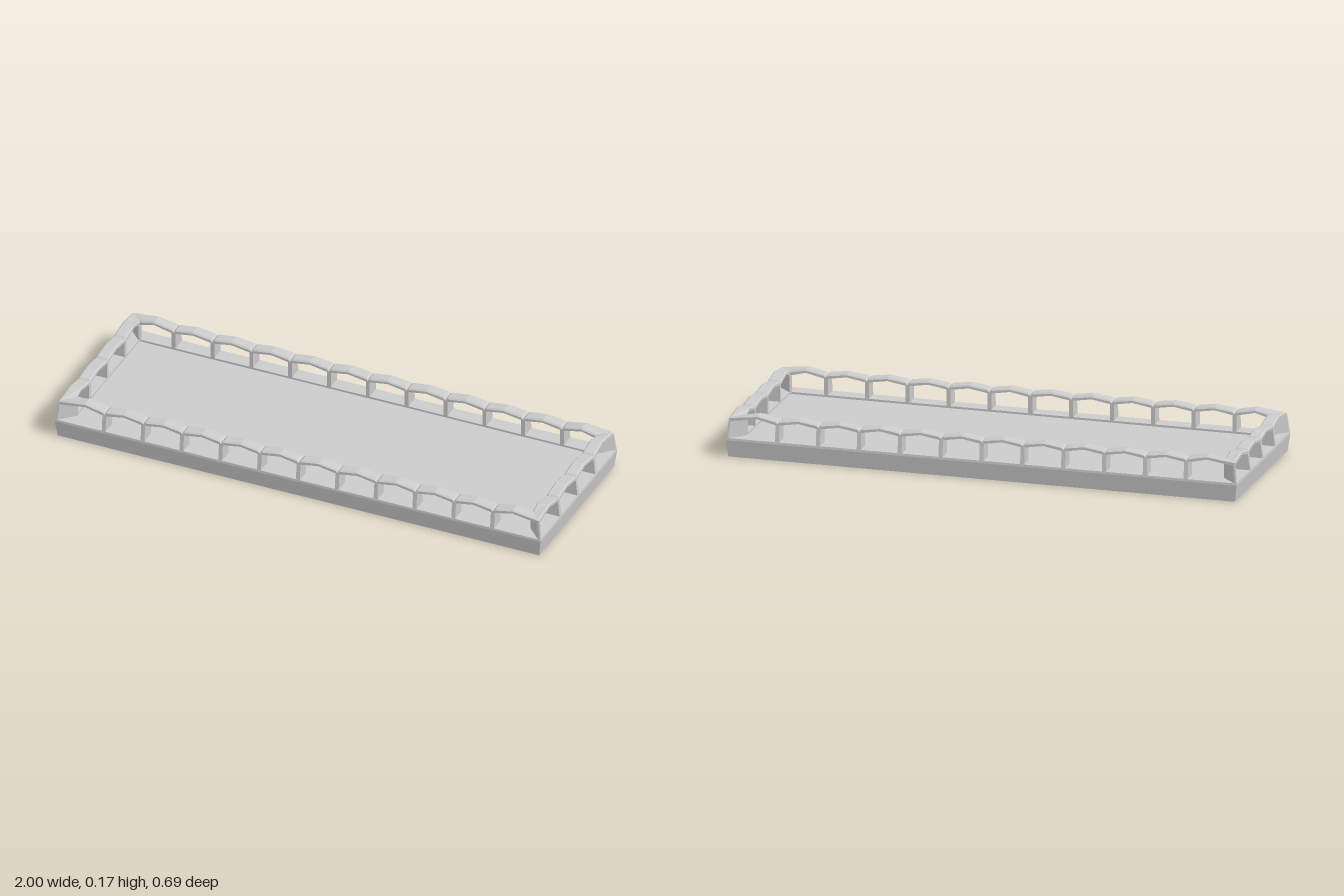
import * as THREE from 'three';

const HX = 1.0, HZ = 0.346;      // half sizes at the widest crease
const PITCH = 0.16;              // post spacing
const RIM = 0.06;                // rim depth
const LEDGE = 0.074, FLOOR = 0.066;
const material = new THREE.MeshStandardMaterial({ color: 0xcccccc, flatShading: true });

// inset of the outer face, which leans inward above the crease
const lean = (y) => Math.max(0, (y - 0.065) * 0.11);

// skins a row of equal-length closed sections and caps both ends
function loft(name, sections) {
  const pos = [];
  const tri = (a, b, c) => pos.push(...a, ...b, ...c);
  const n = sections[0].length;
  for (let k = 0; k + 1 < sections.length; k++) {
    const a = sections[k], b = sections[k + 1];
    for (let i = 0; i < n; i++) {
      const j = (i + 1) % n;
      tri(a[i], a[j], b[j]);
      tri(a[i], b[j], b[i]);
    }
  }
  const first = sections[0], last = sections[sections.length - 1];
  for (let i = 1; i + 1 < n; i++) {
    tri(first[0], first[i + 1], first[i]);
    tri(last[0], last[i], last[i + 1]);
  }
  const geometry = new THREE.BufferGeometry();
  geometry.setAttribute('position', new THREE.Float32BufferAttribute(pos, 3));
  geometry.computeVertexNormals();
  const mesh = new THREE.Mesh(geometry, material);
  mesh.name = name;
  return mesh;
}

// tray body: outer sides, ledge and slightly sunken floor
function makeBase() {
  const rings = [[0.008, 0], [0, 0.065], [0.001, LEDGE], [RIM, LEDGE], [RIM, FLOOR]];
  return loft('base', rings.map(([d, y]) => {
    const x = HX - d, z = HZ - d;
    return [[x, y, z], [x, y, -z], [-x, y, -z], [-x, y, z]];
  }));
}

// one railing side facing +z, running along x
function makeWall(half, depth, arches) {
  const wall = new THREE.Group();

  // rail cross-section; mitre -1 or 1 cuts it diagonally at a corner
  const section = ({ u = 0, low, top, mitre = 0 }) => {
    const d = lean(top);
    return [[d, low], [RIM, low], [RIM, top - 0.005], [RIM - 0.005, top],
      [d + 0.006, top], [d, top - 0.004]]
      .map(([inset, y]) => [mitre ? mitre * (half - inset) : u, y, depth - inset]);
  };

  for (let i = 0; i < arches; i++) {
    const u0 = (i - arches / 2) * PITCH, u1 = u0 + PITCH;
    const first = i === 0, last = i === arches - 1;
    const peak = first || last ? 0.167 : 0.163;
    const start = first
      ? [{ mitre: -1, low: 0.138, top: 0.154 }]
      : [{ u: u0, low: 0.138, top: 0.146 }, { u: u0 + 0.008, low: 0.138, top: 0.153 }];
    const end = last
      ? [{ mitre: 1, low: 0.138, top: 0.154 }]
      : [{ u: u1 - 0.008, low: 0.138, top: 0.153 }, { u: u1, low: 0.138, top: 0.146 }];
    const middle = { u: (u0 + u1) / 2, low: peak - 0.013, top: peak };
    wall.add(loft('railArch', [...start, middle, ...end].map(section)));

    // plate-shaped post between two arches
    if (!first) {
      wall.add(loft('post', [FLOOR + 0.004, 0.14].map((y) => {
        const w = 0.008, zo = depth - lean(y) - 0.001, zi = depth - RIM;
        return [[u0 + w, y, zo], [u0 + w, y, zi], [u0 - w, y, zi], [u0 - w, y, zo]];
      })));
    }
  }

  // diagonal corner post under the mitre
  wall.add(loft('cornerPost', [FLOOR + 0.004, 0.14].map((y) => {
    const t = 0.008, d = lean(y), p = (a, b) => [half - a, y, depth - b];
    return [p(d, d), p(d, d + t), p(RIM, RIM + t), p(RIM + t, RIM), p(d + t, d)];
  })));
  return wall;
}

export function createModel() {
  const model = new THREE.Group();
  model.name = 'scallopedTray';
  model.add(makeBase());
  ['frontRailing', 'leftRailing', 'backRailing', 'rightRailing'].forEach((name, k) => {
    const wall = k % 2 ? makeWall(HZ, HX, 4) : makeWall(HX, HZ, 12);
    wall.name = name;
    wall.rotation.y = k * Math.PI / 2;
    model.add(wall);
  });
  return model;
}
